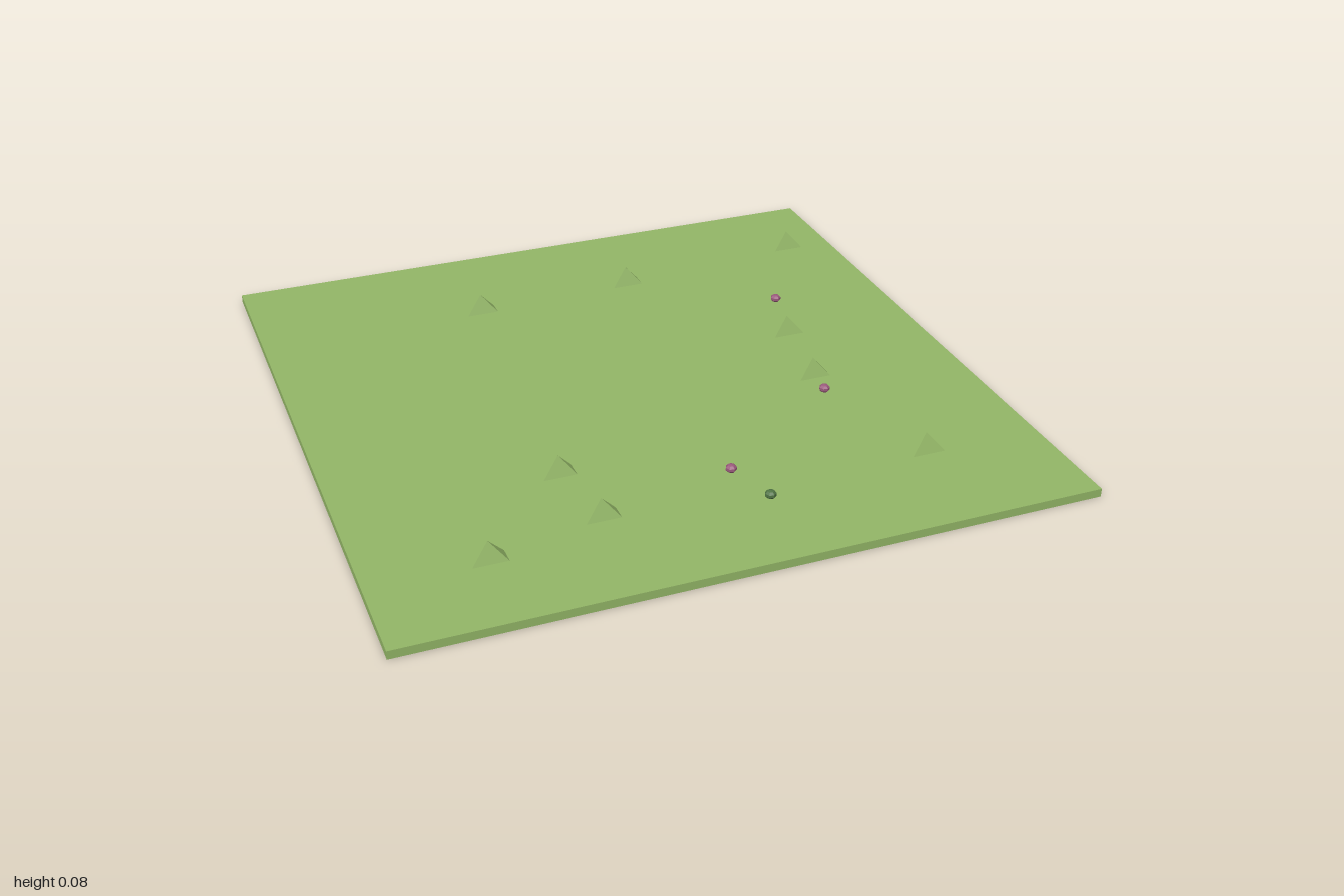
import * as THREE from 'three';

export function createModel() {
  const model = new THREE.Group();
  model.name = 'meadow';

  const mat = (name, color) => {
    const m = new THREE.MeshStandardMaterial({ color, flatShading: true });
    m.name = name;
    return m;
  };
  const grass = mat('grass green', 0x92b566);
  const pink = mat('blossom pink', 0x9a5a7c);
  const leaf = mat('bud green', 0x4f7343);

  const add = (name, geometry, material, x, y, z) => {
    const mesh = new THREE.Mesh(geometry, material);
    mesh.name = name;
    mesh.position.set(x, y, z);
    model.add(mesh);
  };

  // Flat square of ground
  const top = 0.025;
  add('ground', new THREE.BoxGeometry(2, top, 2), grass, 0, top / 2, 0);

  // Four-sided tufts, twice as wide as deep
  const height = 0.058;
  const tuft = new THREE.ConeGeometry(Math.SQRT1_2, 1, 4)
    .rotateY(Math.PI / 4)
    .scale(0.1, height, 0.05);
  const tufts = [
    [-0.29, -0.615], [0.223, -0.64], [0.845, -0.71],
    [0.578, -0.133], [0.535, 0.145], [-0.367, 0.4],
    [-0.325, 0.642], [-0.665, 0.725], [0.647, 0.65],
  ];
  for (const [x, z] of tufts) add('grassTuft', tuft, grass, x, top + height / 2, z);

  // Small faceted flower heads
  const head = new THREE.SphereGeometry(0.017, 7, 5).scale(1, 0.75, 1);
  const flowers = [
    [0.082, 0.57, pink], [0.52, 0.26, pink], [0.632, -0.33, pink], [0.13, 0.727, leaf],
  ];
  for (const [x, z, m] of flowers) add('flowerHead', head, m, x, 0.042, z);

  return model;
}
